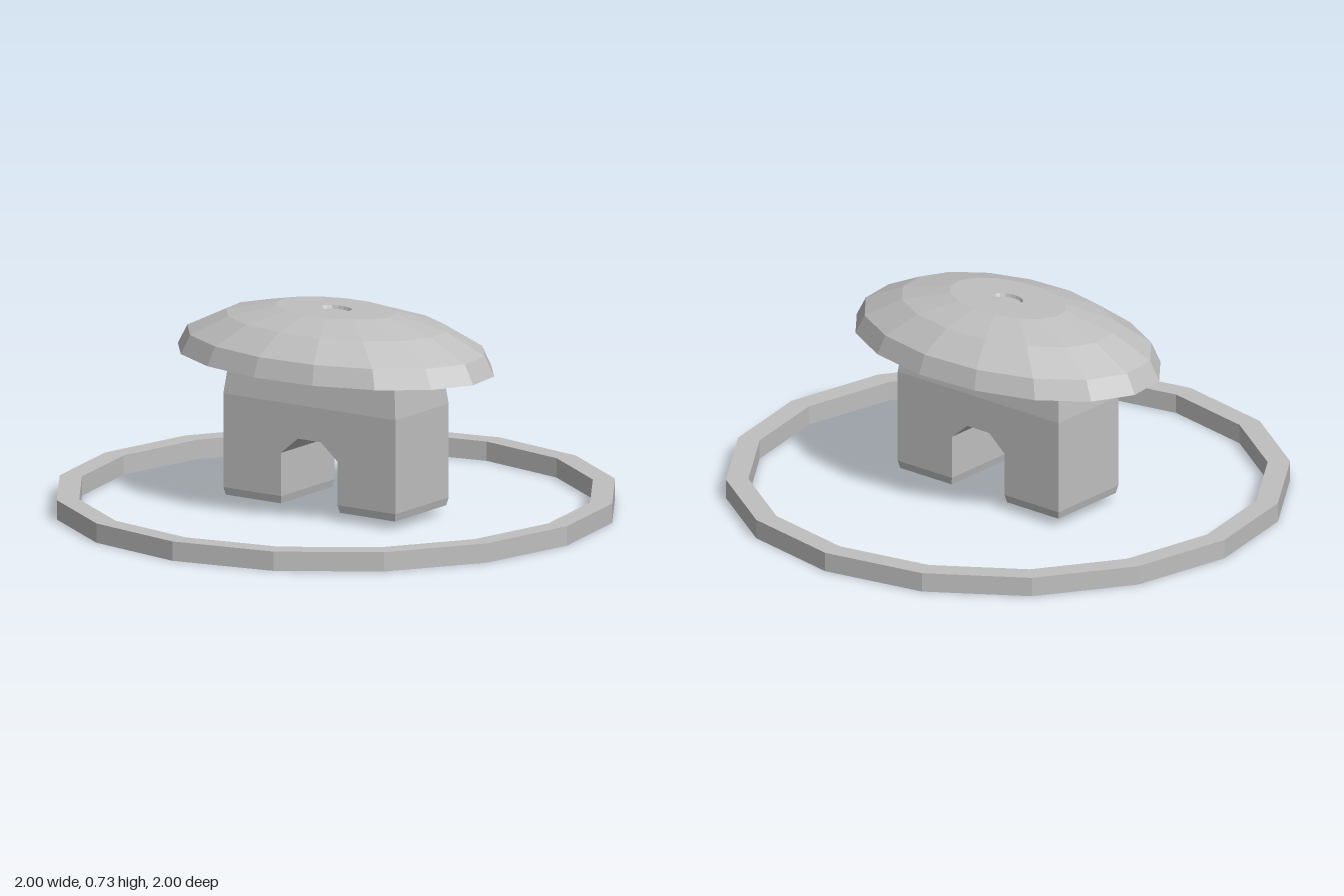
import * as THREE from 'three';

const stone = new THREE.MeshStandardMaterial({ color: 0xbfbfbf });
stone.name = 'plain grey';

// Faceted mesh: every face keeps its own normal
function part(name, geometry) {
  const flat = geometry.index ? geometry.toNonIndexed() : geometry;
  flat.computeVertexNormals();
  const mesh = new THREE.Mesh(flat, stone);
  mesh.name = name;
  return mesh;
}

// Box from x0..x1, y0..y1, with its top and bottom drawn in by an inset
function taperedBox(x0, x1, y0, y1, halfZ, topInset, bottomInset) {
  const g = new THREE.BoxGeometry(x1 - x0, y1 - y0, halfZ * 2);
  const p = g.attributes.position;
  for (let i = 0; i < p.count; i++) {
    const inset = p.getY(i) > 0 ? topInset : bottomInset;
    p.setX(i, p.getX(i) - Math.sign(p.getX(i)) * inset);
    p.setZ(i, p.getZ(i) - Math.sign(p.getZ(i)) * inset);
  }
  return g.translate((x0 + x1) / 2, (y0 + y1) / 2, 0);
}

function polygon(radius, sides) {
  return Array.from({ length: sides }, (_, i) => {
    const a = (i / sides) * Math.PI * 2;
    return new THREE.Vector2(Math.cos(a) * radius, Math.sin(a) * radius);
  });
}

const points = (list) => list.map(([x, y]) => new THREE.Vector2(x, y));

export function createModel() {
  const model = new THREE.Group();
  model.name = 'domedPedestal';

  // Sixteen-sided ground ring
  const ring = new THREE.Shape(polygon(1, 16));
  ring.holes.push(new THREE.Path(polygon(0.92, 16)));
  const ringGeometry = new THREE.ExtrudeGeometry(ring, { depth: 0.07, bevelEnabled: false });
  model.add(part('groundRing', ringGeometry.rotateX(-Math.PI / 2)));

  // Body with an arched opening running front to back
  const halfX = 0.372, halfZ = 0.163;
  const arch = new THREE.Shape(points([
    [-halfX, 0.06], [-0.122, 0.06], [-0.122, 0.217], [-0.05, 0.278],
    [0.05, 0.278], [0.122, 0.217], [0.122, 0.06], [halfX, 0.06],
    [halfX, 0.4], [-halfX, 0.4],
  ]));
  const archGeometry = new THREE.ExtrudeGeometry(arch, { depth: halfZ * 2, bevelEnabled: false });
  model.add(part('archedBody', archGeometry.translate(0, 0, -halfZ)));

  // Shoulders narrowing up into the cap
  model.add(part('shoulders', taperedBox(-halfX, halfX, 0.4, 0.55, halfZ, 0.018, 0)));

  // Chamfered feet
  for (const [name, x0, x1] of [['rightFoot', -halfX, -0.122], ['leftFoot', 0.122, halfX]]) {
    model.add(part(name, taperedBox(x0, x1, 0.032, 0.06, halfZ, 0, 0.006)));
  }

  // Oval cap: flat underside, stepped dome and a small dimple on top
  const profile = points([
    [0, 0.534], [0.9, 0.534], [1, 0.54], [0.94, 0.61],
    [0.695, 0.684], [0.38, 0.727], [0.1, 0.727], [0.09, 0.715], [0, 0.715],
  ]);
  const cap = new THREE.LatheGeometry(profile, 16, -7 * Math.PI / 180);
  model.add(part('ovalCap', cap.scale(0.632, 1, 0.398)));

  return model;
}
